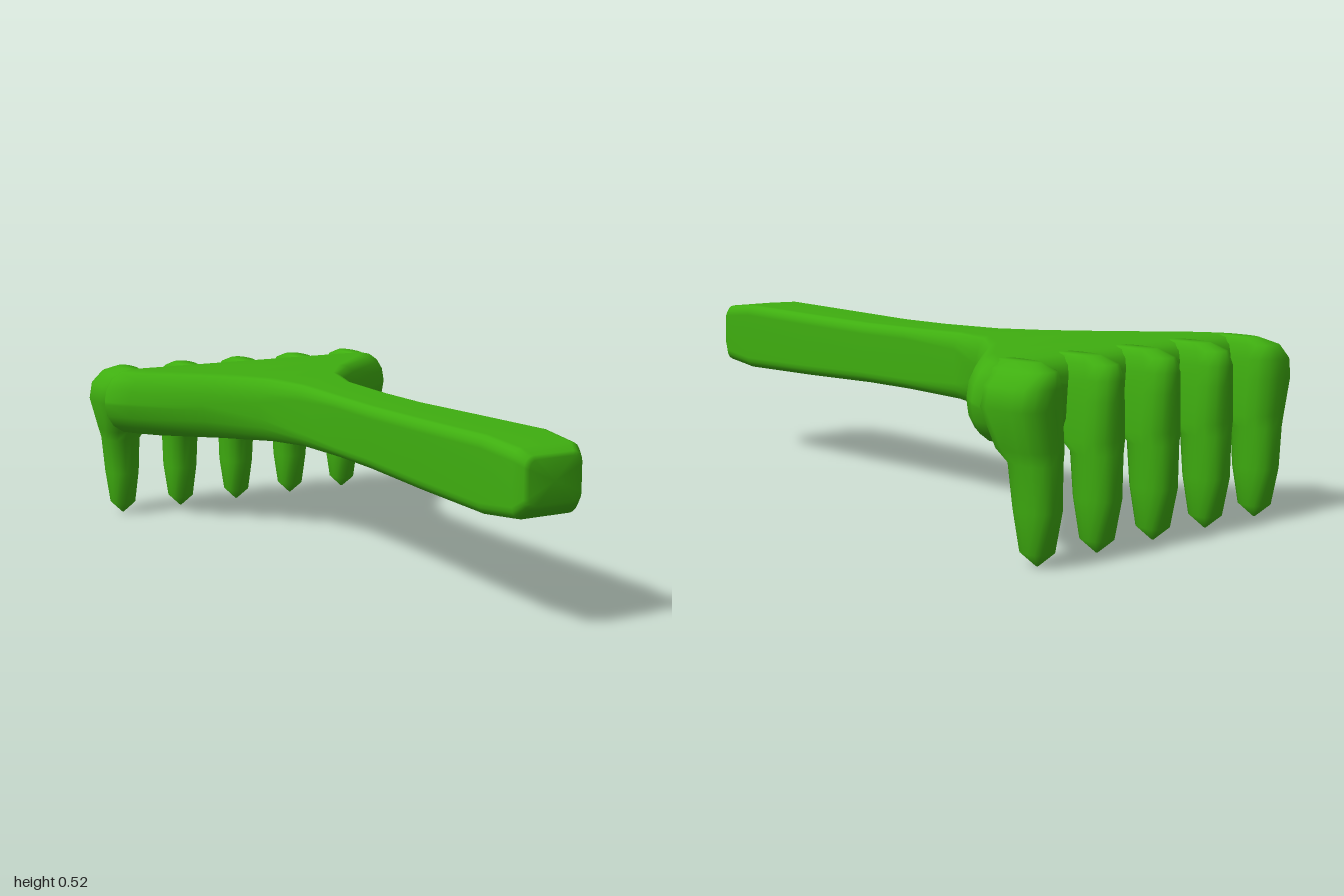
import * as THREE from 'three';

const green = new THREE.MeshStandardMaterial({ color: 0x3fae10 });

// Rounded rectangle, counter-clockwise, n + 1 points per corner
function roundedRect(u0, u1, v0, v1, ru, rv, n) {
  const pts = [];
  const corners = [[u1 - ru, v1 - rv], [u0 + ru, v1 - rv], [u0 + ru, v0 + rv], [u1 - ru, v0 + rv]];
  corners.forEach(([cu, cv], q) => {
    for (let i = 0; i <= n; i++) {
      const a = (q + i / n) * Math.PI / 2;
      pts.push([cu + ru * Math.cos(a), cv + rv * Math.sin(a)]);
    }
  });
  return pts;
}

// Closed skin over rings of points, capped at both ends
function loft(rings) {
  const n = rings[0].length, pos = [], idx = [];
  rings.forEach(r => r.forEach(p => pos.push(...p)));
  for (let i = 0; i < rings.length - 1; i++) {
    for (let j = 0; j < n; j++) {
      const a = i * n + j, b = i * n + (j + 1) % n;
      idx.push(a, b, b + n, a, b + n, a + n);
    }
  }
  [0, rings.length - 1].forEach((k, end) => {
    const c = pos.length / 3, r = rings[k];
    pos.push(...[0, 1, 2].map(m => r.reduce((s, p) => s + p[m], 0) / n));
    for (let j = 0; j < n; j++) {
      const a = k * n + j, b = k * n + (j + 1) % n;
      if (end) idx.push(c, a, b); else idx.push(c, b, a);
    }
  });
  const g = new THREE.BufferGeometry();
  g.setAttribute('position', new THREE.Float32BufferAttribute(pos, 3));
  g.setIndex(idx);
  g.computeVertexNormals();
  return g;
}

function addPart(group, name, geometry) {
  const mesh = new THREE.Mesh(geometry, green);
  mesh.name = name;
  group.add(mesh);
}

export function createModel() {
  const group = new THREE.Group();
  group.name = 'handRake';

  // Handle flaring into the head: z, half width, bottom, top, corner radii
  const body = [
    [-0.875, 0.47, 0.36, 0.47, 0.05, 0.05],
    [-0.865, 0.5, 0.33, 0.5, 0.07, 0.07],
    [-0.84, 0.53, 0.31, 0.518, 0.09, 0.09],
    [-0.8, 0.545, 0.305, 0.525, 0.1, 0.105],
    [-0.72, 0.49, 0.305, 0.525, 0.1, 0.105],
    [-0.55, 0.3, 0.307, 0.525, 0.08, 0.1],
    [-0.4, 0.165, 0.311, 0.523, 0.05, 0.08],
    [-0.24, 0.108, 0.316, 0.518, 0.035, 0.05],
    [0, 0.1, 0.32, 0.513, 0.03, 0.035],
    [0.2, 0.104, 0.32, 0.512, 0.03, 0.035],
    [0.5, 0.112, 0.313, 0.518, 0.03, 0.035],
    [0.82, 0.116, 0.308, 0.525, 0.03, 0.035],
    [0.96, 0.108, 0.322, 0.512, 0.03, 0.035],
    [0.99, 0.093, 0.35, 0.495, 0.03, 0.03],
    [1, 0.082, 0.362, 0.485, 0.025, 0.025],
  ];
  addPart(group, 'handleAndHead', loft(body.map(([z, w, y0, y1, rx, ry]) =>
    roundedRect(-w, w, y0, y1, rx, ry, 4).map(([x, y]) => [x, y, z]))));

  // Tines from tip to knuckle: y, half width, back z, front z, extra outer width
  const tine = [
    [0.003, 0.003, -0.938, -0.932, 0],
    [0.04, 0.04, -0.98, -0.888, 0],
    [0.15, 0.053, -1, -0.868, 0],
    [0.27, 0.057, -1, -0.857, 0.008],
    [0.305, 0.064, -1, -0.82, 0.012],
    [0.41, 0.058, -1, -0.79, 0.047],
    [0.465, 0.054, -1, -0.79, 0.04],
    [0.505, 0.046, -0.985, -0.79, 0.012],
    [0.524, 0.03, -0.93, -0.79, -0.01],
  ];
  for (let k = -2; k <= 2; k++) {
    const cx = k * 0.22;
    const rings = tine.map(([y, w, z0, z1, outer]) => {
      const x0 = cx - w - (k === -2 ? outer : 0);
      const x1 = cx + w + (k === 2 ? outer : 0);
      const rx = (x1 - x0) * 0.4, rz = Math.min((z1 - z0) * 0.42, 0.06);
      return roundedRect(z0, z1, x0, x1, rz, rx, 3).map(([z, x]) => [x, y, z]);
    });
    addPart(group, 'tine' + (k + 3), loft(rings));
  }
  return group;
}
